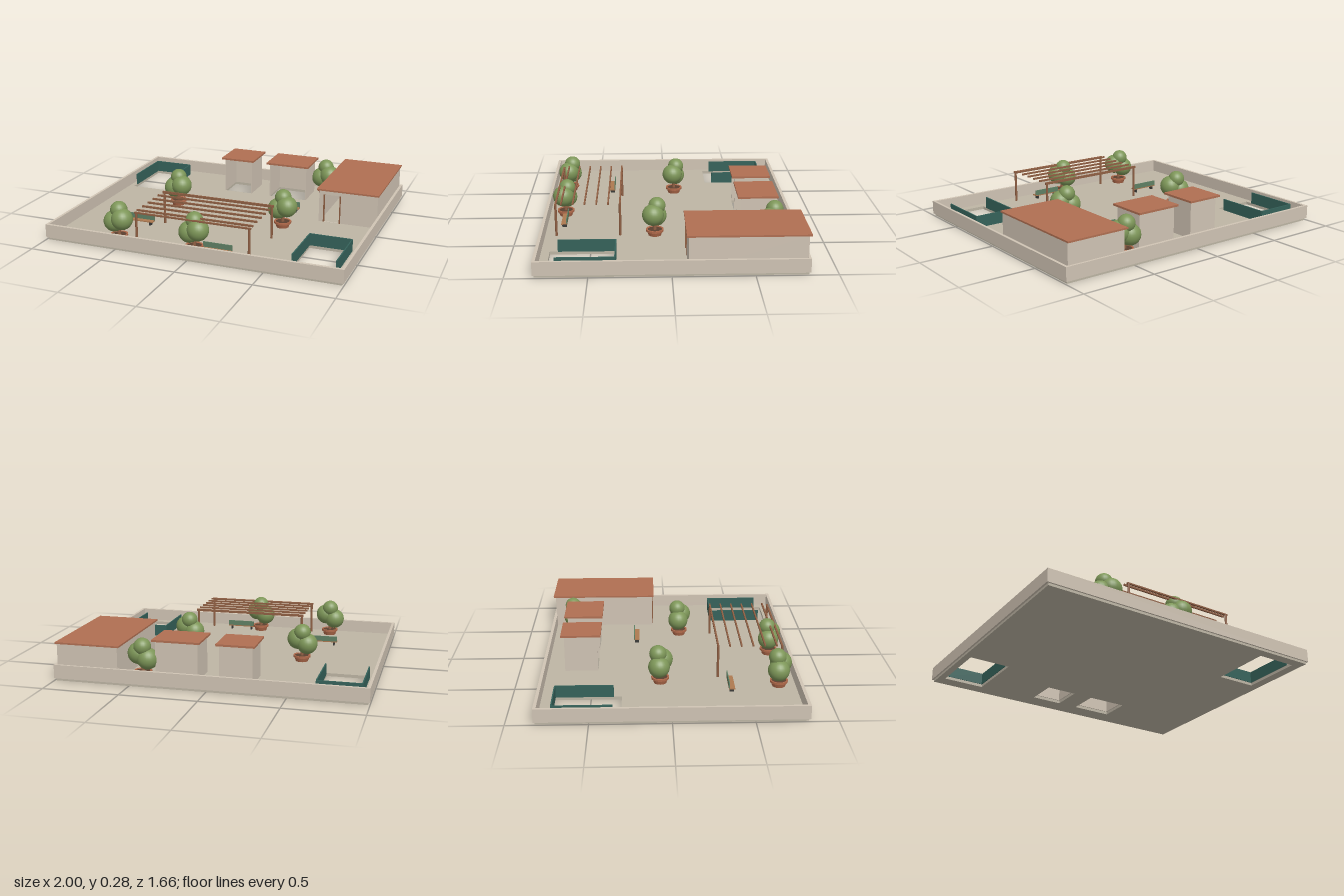
import * as THREE from 'three';

const mat = (color, side = THREE.FrontSide) => new THREE.MeshStandardMaterial({ color, side });
const M = {
  floor: mat(0xbdb5a4), wall: mat(0xd0c4b4, THREE.DoubleSide), roof: mat(0xb06f52),
  wood: mat(0x8f5f43), seat: mat(0xad7950), fence: mat(0x35625a, THREE.DoubleSide),
  bench: mat(0x5f8064), metal: mat(0x3a3a38), leaf: mat(0x7d9658), pot: mat(0xb0694a), soil: mat(0x5a4030),
};
const FLOOR = 0.02;

function add(parent, name, geometry, material, x = 0, y = 0, z = 0) {
  const mesh = new THREE.Mesh(geometry, material);
  mesh.name = name;
  mesh.position.set(x, y, z);
  parent.add(mesh);
  return mesh;
}

// Box given by its lower and upper limits on each axis
function block(parent, name, material, x0, x1, y0, y1, z0, z1) {
  return add(parent, name, new THREE.BoxGeometry(x1 - x0, y1 - y0, z1 - z0), material,
    (x0 + x1) / 2, (y0 + y1) / 2, (z0 + z1) / 2);
}

function group(parent, name, x = 0, y = 0, z = 0) {
  const g = new THREE.Group();
  g.name = name;
  g.position.set(x, y, z);
  parent.add(g);
  return g;
}

// Rectangle in plan (x, z), usable as outline or hole
function rect(Type, x0, x1, z0, z1) {
  const p = new Type();
  p.moveTo(x0, z0); p.lineTo(x1, z0); p.lineTo(x1, z1); p.lineTo(x0, z1); p.closePath();
  return p;
}

// Extrude a plan outline with holes between two heights
function plate(outline, holes, y0, y1) {
  const shape = rect(THREE.Shape, ...outline);
  holes.forEach(h => shape.holes.push(rect(THREE.Path, ...h)));
  const g = new THREE.ExtrudeGeometry(shape, { depth: y1 - y0, bevelEnabled: false });
  return g.rotateX(Math.PI / 2).translate(0, y1, 0);
}

// Fence on three sides of a stair opening, open at the front
function stairFence(parent, [x0, x1, z0, z1]) {
  const g = group(parent, 'stairFence'), t = 0.008, top = 0.1;
  block(g, 'backPanel', M.fence, x0, x1, FLOOR, top, z0 - t / 2, z0 + t / 2);
  for (const x of [x0, x1]) block(g, 'sidePanel', M.fence, x - t / 2, x + t / 2, FLOOR, top, z0, z1 - 0.05);
}

// Open-fronted kiosk over a shaft
function kiosk(parent, [x0, x1, z0, z1]) {
  const g = group(parent, 'kiosk'), t = 0.006, top = 0.265;
  block(g, 'backWall', M.wall, x0, x1, FLOOR, top, z0, z0 + t);
  block(g, 'leftWall', M.wall, x1 - t, x1, FLOOR, top, z0 + t, z1);
  block(g, 'rightWall', M.wall, x0, x0 + t, FLOOR, top, z0 + t, z1);
  block(g, 'roof', M.roof, x0 - 0.018, x1 + 0.018, top, top + 0.013, z0 - 0.022, z1 + 0.022);
}

// Large pavilion with a doorway in its front wall
function pavilion(parent) {
  const g = group(parent, 'pavilion');
  const x0 = 0.575, x1 = 0.978, z0 = -0.815, z1 = -0.1, top = 0.243, t = 0.008;
  const d0 = 0.61, d1 = 0.722, dTop = 0.215;
  block(g, 'backWall', M.wall, x0, x1, FLOOR, top, z0, z0 + t);
  block(g, 'rightWall', M.wall, x0, x0 + t, FLOOR, top, z0 + t, z1 - t);
  block(g, 'leftWall', M.wall, x1 - t, x1, FLOOR, top, z0 + t, z1 - t);
  const front = rect(THREE.Shape, x0, x1, FLOOR, top);
  front.holes.push(rect(THREE.Path, d0, d1, FLOOR + 0.0005, dTop));
  add(g, 'frontWall', new THREE.ExtrudeGeometry(front, { depth: t, bevelEnabled: false }), M.wall, 0, 0, z1 - t);
  for (const x of [d0, d1]) block(g, 'doorJamb', M.wood, x - 0.004, x + 0.004, FLOOR, dTop, z1 - t, z1 + 0.005);
  block(g, 'roof', M.roof, 0.56, 0.985, top, top + 0.011, -0.83, -0.088);
}

// Pergola: four round posts, two beams and a row of slats
function pergola(parent) {
  const g = group(parent, 'pergola');
  const zBack = 0.318, zFront = 0.735, x0 = -0.395, x1 = 0.392;
  for (const z of [zBack, zFront]) {
    for (const x of [-0.384, 0.38])
      add(g, 'post', new THREE.CylinderGeometry(0.008, 0.008, 0.217, 10), M.wood, x, FLOOR + 0.1085, z);
    block(g, 'beam', M.wood, x0, x1, 0.232, 0.242, z - 0.006, z + 0.006);
  }
  for (let i = 0; i < 6; i++) {
    const z = zBack + i * 0.0762;
    block(g, 'slat', M.wood, x0, x1, 0.236, 0.248, z - 0.005, z + 0.005);
  }
}

// Bench with its back on the far side
function bench(parent, x, z) {
  const g = group(parent, 'bench', x, FLOOR, z);
  block(g, 'seat', M.seat, -0.098, 0.098, 0.024, 0.031, -0.02, 0.02);
  block(g, 'backrest', M.bench, -0.098, 0.098, 0.031, 0.066, -0.02, -0.014);
  for (const s of [-1, 1]) block(g, 'leg', M.metal, s * 0.075 - 0.005, s * 0.075 + 0.005, 0, 0.024, -0.015, 0.015);
}

// Potted tree with three leaf balls
function tree(parent, x, z) {
  const g = group(parent, 'pottedTree', x, 0, z);
  const profile = [[0, 0.02], [0.042, 0.02], [0.05, 0.046], [0.058, 0.048], [0.058, 0.062], [0.048, 0.062], [0.046, 0.056]];
  const pot = new THREE.LatheGeometry(profile.map(p => new THREE.Vector2(...p)), 20);
  add(g, 'pot', pot, new THREE.MeshStandardMaterial({ color: 0xb0694a, side: THREE.DoubleSide, flatShading: true }));
  add(g, 'soil', new THREE.CylinderGeometry(0.047, 0.046, 0.004, 20), M.soil, 0, 0.056, 0);
  add(g, 'trunk', new THREE.CylinderGeometry(0.009, 0.012, 0.1, 10), M.wood, 0, 0.1, 0);
  for (const [bx, by, bz, r] of [[-0.035, 0.143, -0.008, 0.07], [0.031, 0.17, 0.012, 0.071], [-0.003, 0.222, -0.014, 0.056]])
    add(g, 'foliage', new THREE.SphereGeometry(r, 24, 16), M.leaf, bx, by, bz);
}

export function createModel() {
  const root = new THREE.Group();
  root.name = 'roofTerrace';

  // Openings in plan: x0, x1, z0, z1
  const stairs = [[-0.943, -0.665, -0.725, -0.307], [0.645, 0.922, 0.34, 0.755]];
  const kiosks = [[-0.262, -0.05, -0.692, -0.472], [0.09, 0.367, -0.692, -0.472]];

  // Deck and surrounding parapet
  add(root, 'deck', plate([-0.988, 0.988, -0.82, 0.82], [...stairs, ...kiosks], 0, FLOOR), M.floor);
  add(root, 'parapet', plate([-1, 1, -0.83, 0.83], [[-0.982, 0.982, -0.81, 0.81]], 0.016, 0.105), M.wall);

  stairs.forEach(s => stairFence(root, s));
  kiosks.forEach(k => kiosk(root, k));
  pavilion(root);
  pergola(root);
  [[0.302, -0.215], [-0.533, 0.39], [0.15, 0.695]].forEach(p => bench(root, ...p));
  [[0, 0.7], [-0.53, 0.7], [-0.457, -0.062], [0.38, 0.092], [0.46, -0.665]].forEach(p => tree(root, ...p));
  return root;
}
